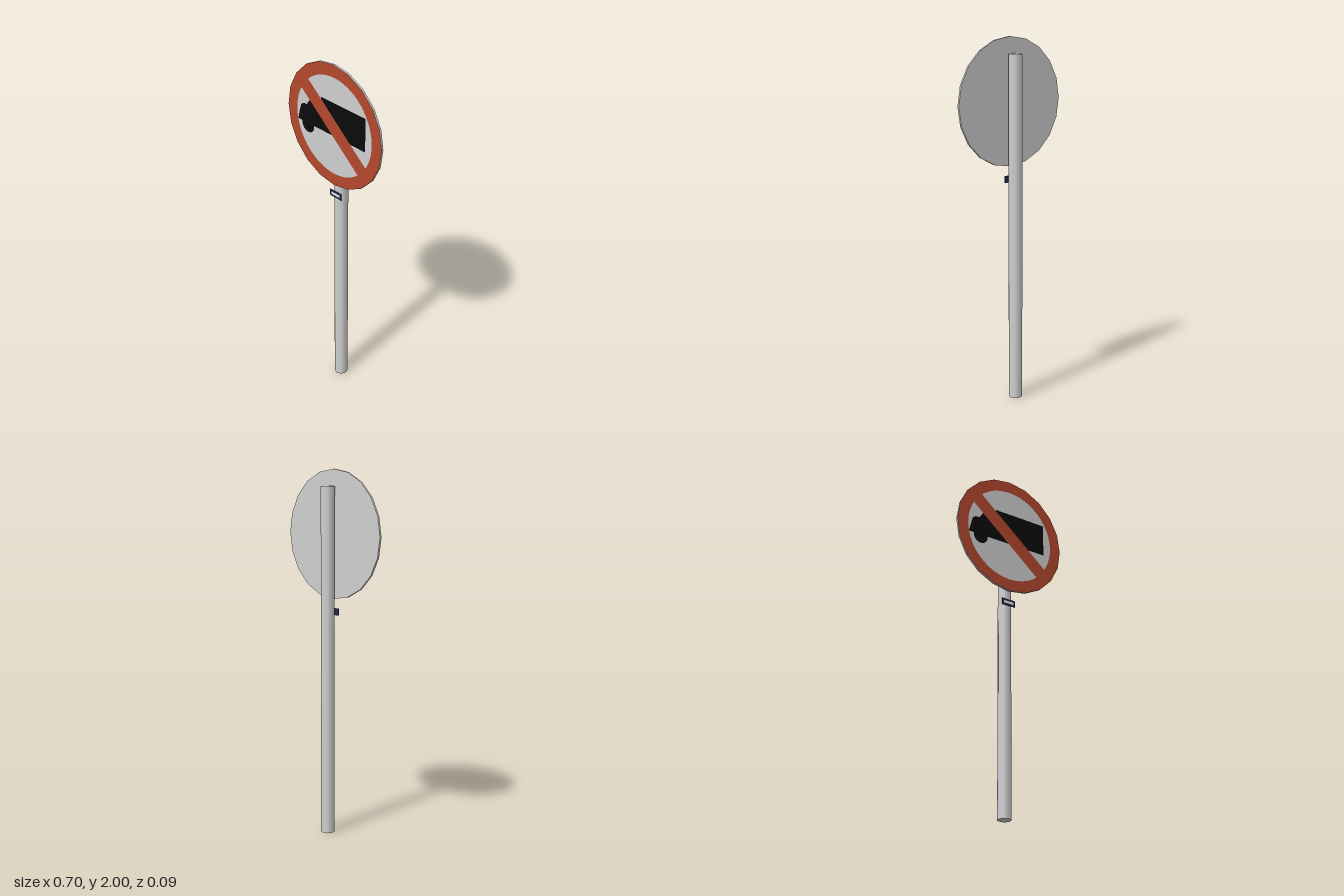
import * as THREE from 'three';

const mat = (name, color, side = THREE.FrontSide) => {
  const m = new THREE.MeshStandardMaterial({ color, side });
  m.name = name;
  return m;
};

export function createModel() {
  const group = new THREE.Group();
  const grey = mat('light grey', 0xd0d0d0);
  const red = mat('sign red', 0xb6482d);
  const black = mat('black', 0x0a0a0a);
  const navy = mat('navy', 0x26264f);
  const white = mat('white', 0xf0f0f0);

  const SIGN_Y = 1.65, R = 0.35;
  const add = (name, geometry, material, x, y, z) => {
    const mesh = new THREE.Mesh(geometry, material);
    mesh.name = name;
    mesh.position.set(x, y, z);
    group.add(mesh);
    return mesh;
  };
  const polygon = (pts) => new THREE.Shape(pts.map(([x, y]) => new THREE.Vector2(x, y)));

  // Eight-sided pole standing behind the sign
  add('pole', new THREE.CylinderGeometry(0.0375, 0.0375, 1.91, 8), grey, 0, 0.955, -0.0145);

  // Twenty-sided sign plate
  const disc = new THREE.CylinderGeometry(R, R, 0.0115, 20).rotateX(Math.PI / 2);
  add('signPlate', disc, grey, 0, SIGN_Y, 0.03375);

  // Red border: faceted outside, round inside
  const border = polygon(Array.from({ length: 20 }, (_, i) => {
    const a = (i / 20) * Math.PI * 2;
    return [R * Math.cos(a), R * Math.sin(a)];
  }));
  border.holes.push(new THREE.Path().absarc(0, 0, 0.28, 0, Math.PI * 2, true));
  add('redBorder', new THREE.ShapeGeometry(border, 32), red, 0, SIGN_Y, 0.0405);

  // Lorry silhouette: cargo box, cab and front wheel
  const lorry = polygon([
    [-0.275, -0.056], [0.233, -0.056], [0.233, 0.136], [-0.095, 0.136], [-0.095, 0.09],
    [-0.18, 0.09], [-0.205, 0.052], [-0.23, 0.05], [-0.25, 0.036],
  ]);
  add('lorryBody', new THREE.ShapeGeometry(lorry), black, 0, SIGN_Y, 0.04);
  add('lorryWheel', new THREE.CircleGeometry(0.046, 24), black, -0.196, 1.587, 0.0401);

  // Diagonal prohibition bar
  const bar = add('diagonalBar', new THREE.PlaneGeometry(0.565, 0.086), red, -0.005, 1.646, 0.041);
  bar.rotation.z = -0.692;

  // Small plate fixed to the pole below the sign
  add('smallPlate', new THREE.BoxGeometry(0.086, 0.038, 0.003), navy, 0, 1.232, 0.0255);
  add('smallPlatePanel', new THREE.PlaneGeometry(0.064, 0.015), white, 0, 1.232, 0.0275);

  return group;
}
